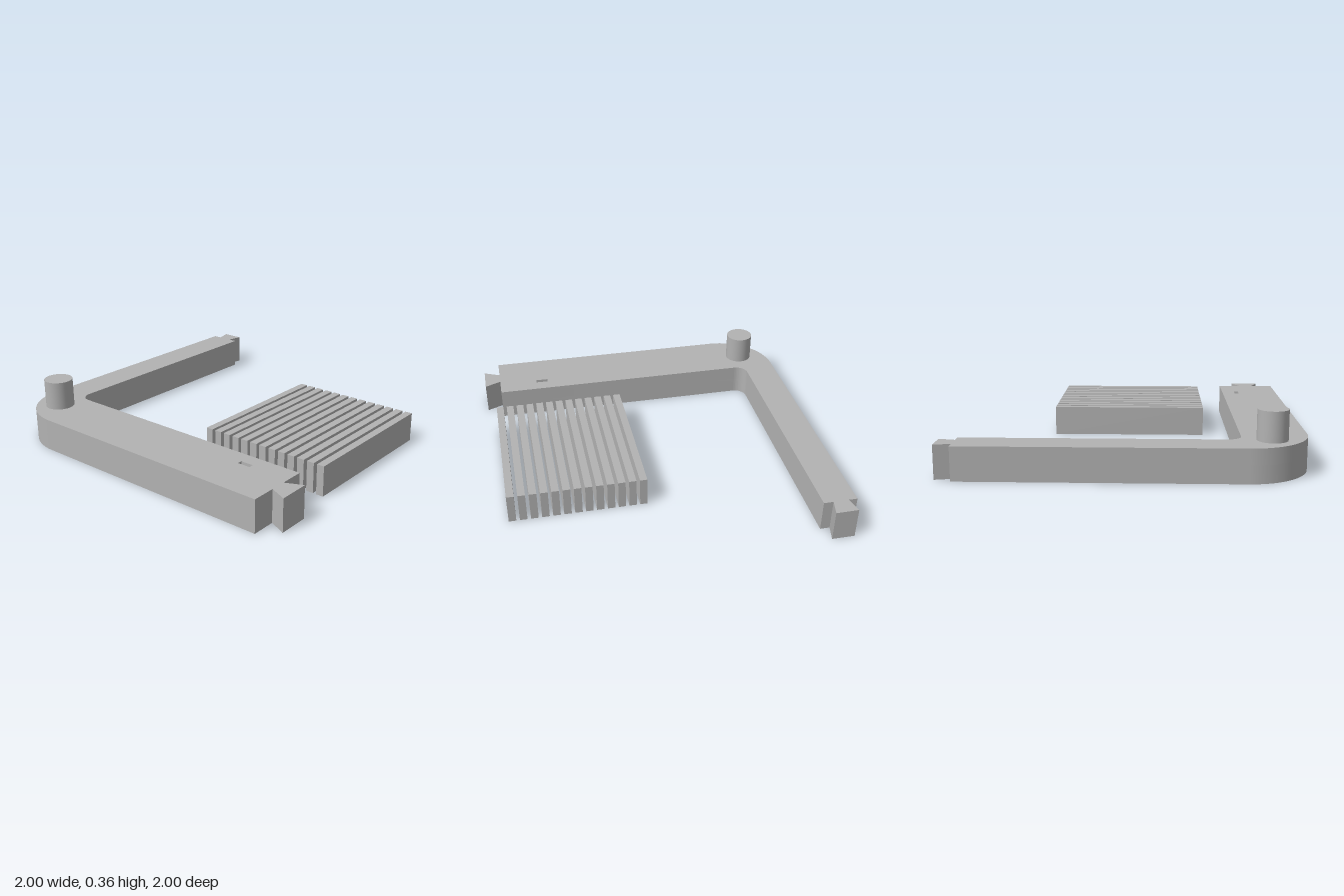
import * as THREE from 'three';
import { toCreasedNormals } from 'three/addons/utils/BufferGeometryUtils.js';

const grey = new THREE.MeshStandardMaterial({ color: 0xb2b2b2 });
grey.name = 'plain grey';

const ARM_TOP = 0.19;
const GROOVE_DEPTH = 0.1;

// rectangular hole given in plan coordinates (x, z)
function slot(x0, x1, z0, z1) {
  return new THREE.Path([[x0, -z0], [x0, -z1], [x1, -z1], [x1, -z0]]
    .map(([x, y]) => new THREE.Vector2(x, y)));
}

// L-shaped plan with rounded corner and a dovetail tongue at each end; shape y is -z
function armPlan() {
  const s = new THREE.Shape();
  s.moveTo(-1, -0.9);
  // front dovetail
  s.lineTo(-0.86, -0.9);
  s.lineTo(-0.905, -1);
  s.lineTo(-0.725, -1);
  s.lineTo(-0.77, -0.9);
  s.lineTo(-0.63, -0.9);
  // inner corner
  s.lineTo(-0.63, 0.725);
  s.absarc(-0.555, 0.725, 0.075, Math.PI, Math.PI / 2, true);
  s.lineTo(0.905, 0.8);
  // back dovetail
  s.lineTo(0.905, 0.857);
  s.lineTo(1, 0.835);
  s.lineTo(1, 0.97);
  s.lineTo(0.905, 0.948);
  s.lineTo(0.905, 1);
  // outer corner
  s.lineTo(-0.65, 1);
  s.absarc(-0.65, 0.65, 0.35, Math.PI / 2, Math.PI, false);
  s.closePath();
  s.holes.push(slot(-0.74, -0.712, 0.58, 0.657));
  return s;
}

// upright slab extruded from a plan shape between two heights
function slab(name, shape, y0, y1) {
  const geo = new THREE.ExtrudeGeometry(shape, { depth: y1 - y0, bevelEnabled: false, curveSegments: 20 });
  geo.rotateX(-Math.PI / 2);
  geo.translate(0, y0, 0);
  const mesh = new THREE.Mesh(toCreasedNormals(geo, 0.5), grey);
  mesh.name = name;
  return mesh;
}

export function createModel() {
  const model = new THREE.Group();
  model.name = 'cornerFrameWithSlats';

  // corner frame: the lower layer carries the blind groove under the back arm
  const frame = new THREE.Group();
  frame.name = 'cornerFrame';
  const lower = armPlan();
  lower.holes.push(slot(-0.44, 0.51, -0.96, -0.92));
  frame.add(slab('frameLower', lower, 0, GROOVE_DEPTH));
  frame.add(slab('frameUpper', armPlan(), GROOVE_DEPTH, ARM_TOP));
  model.add(frame);

  // pivot pin standing on the corner
  const pin = new THREE.Mesh(new THREE.CylinderGeometry(0.085, 0.085, 0.17, 48), grey);
  pin.name = 'pivotPin';
  pin.position.set(-0.79, ARM_TOP + 0.085, -0.8);
  model.add(pin);

  // row of loose slats
  const slats = new THREE.Group();
  slats.name = 'slats';
  const slatGeo = new THREE.BoxGeometry(0.95, 0.178, 0.044);
  for (let i = 0; i < 13; i++) {
    const slat = new THREE.Mesh(slatGeo, grey);
    slat.name = `slat${i + 1}`;
    slat.position.set(0.007, 0.089, 0.144 + i * 0.0646);
    slats.add(slat);
  }
  model.add(slats);

  return model;
}
